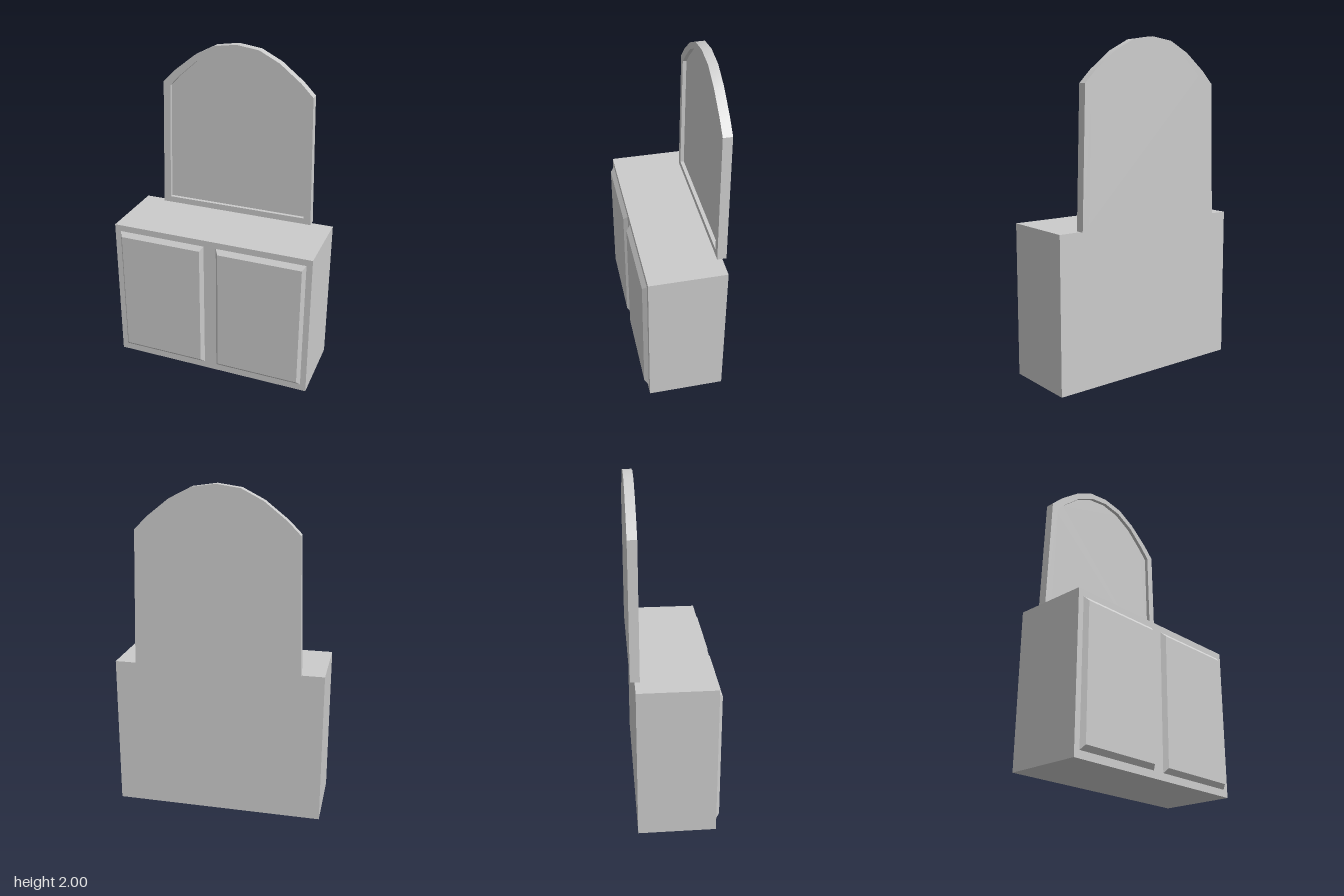
import * as THREE from 'three';
import { toCreasedNormals } from 'three/addons/utils/BufferGeometryUtils.js';

const material = new THREE.MeshStandardMaterial({ color: 0xcccccc });

function addMesh(parent, name, geometry, x = 0, y = 0, z = 0) {
  const mesh = new THREE.Mesh(geometry, material);
  mesh.name = name;
  mesh.position.set(x, y, z);
  parent.add(mesh);
  return mesh;
}

// Closed outline from its right half, listed bottom to crown, mirrored to the left
function mirroredOutline(half) {
  const left = half.filter(([x]) => x > 0).reverse().map(([x, y]) => [-x, y]);
  return [...half, ...left].map(([x, y]) => new THREE.Vector2(x, y));
}

function extrude(shape, depth) {
  const geometry = new THREE.ExtrudeGeometry(shape, { depth, bevelEnabled: false });
  return toCreasedNormals(geometry, THREE.MathUtils.degToRad(30));
}

// Box whose front face is inset to form sloping edges
function raisedPanel(width, height, depth, insetX, insetY) {
  const geometry = new THREE.BoxGeometry(width, height, depth);
  const p = geometry.attributes.position;
  for (let i = 0; i < p.count; i++) {
    if (p.getZ(i) > 0) {
      p.setX(i, p.getX(i) - Math.sign(p.getX(i)) * insetX);
      p.setY(i, p.getY(i) - Math.sign(p.getY(i)) * insetY);
    }
  }
  geometry.computeVertexNormals();
  return geometry;
}

export function createModel() {
  const model = new THREE.Group();
  model.name = 'dresserWithMirror';

  // Cabinet body
  const height = 0.925;
  addMesh(model, 'cabinet', new THREE.BoxGeometry(1.265, height, 0.46), 0, height / 2, 0);

  // Pair of raised doors
  const door = raisedPanel(0.557, 0.842, 0.025, 0.019, 0.027);
  for (const [name, side] of [['leftDoor', 1], ['rightDoor', -1]]) {
    addMesh(model, name, door, side * 0.318, 0.464, 0.2425);
  }

  // Arched mirror, overhanging the back edge of the cabinet
  const outer = mirroredOutline([
    [0.498, height], [0.474, 1.735], [0.4, 1.81], [0.267, 1.915], [0.14, 1.98], [0, 2],
  ]);
  const inner = mirroredOutline([
    [0.451, 0.963], [0.429, 1.715], [0.366, 1.78], [0.25, 1.882], [0.127, 1.945], [0, 1.965],
  ]);
  const mirror = new THREE.Group();
  mirror.name = 'mirror';
  mirror.position.z = -0.255;
  model.add(mirror);

  const frame = new THREE.Shape(outer);
  frame.holes.push(new THREE.Path(inner));
  addMesh(mirror, 'mirrorFrame', extrude(frame, 0.055));

  // Glass set back inside the frame
  addMesh(mirror, 'mirrorGlass', extrude(new THREE.Shape(inner), 0.032));

  return model;
}
